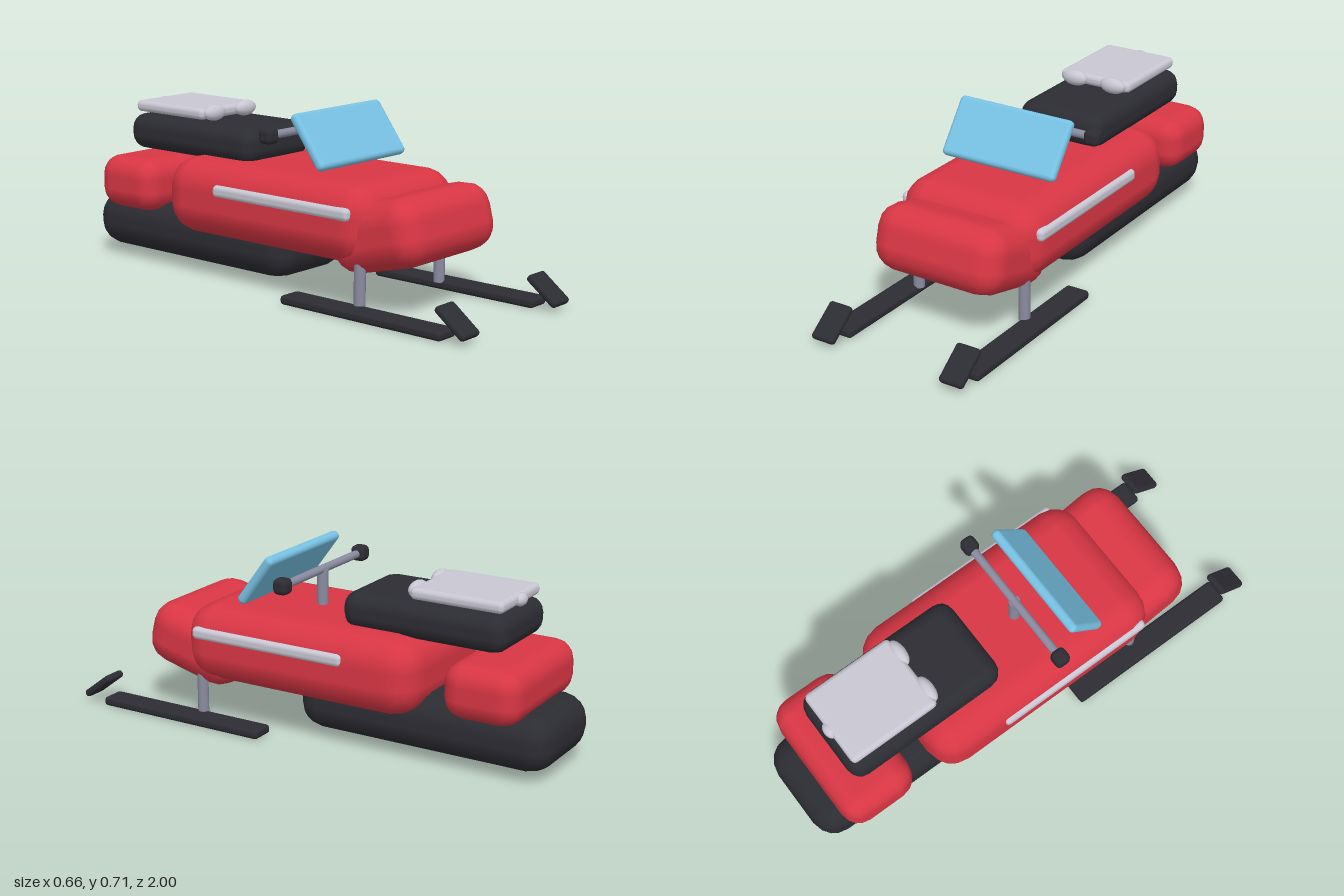
import * as THREE from 'three';
import { RoundedBoxGeometry } from 'three/addons/geometries/RoundedBoxGeometry.js';

const mat = (name, color) => {
  const m = new THREE.MeshStandardMaterial({ color });
  m.name = name;
  return m;
};

export function createModel() {
  const red = mat('red paint', 0xd93644);
  const black = mat('black rubber', 0x2c2c33);
  const silver = mat('silver trim', 0xc8c7d3);
  const steel = mat('steel', 0x8a8ba0);
  const blue = mat('blue windshield', 0x78c2e4);

  const model = new THREE.Group();
  model.name = 'snowmobile';

  const add = (name, geometry, material, pos, tilt = 0) => {
    const mesh = new THREE.Mesh(geometry, material);
    mesh.name = name;
    mesh.position.set(...pos);
    mesh.rotation.x = tilt;
    model.add(mesh);
    return mesh;
  };
  // Softly bevelled block
  const block = (name, material, [w, h, d], r, pos, tilt) =>
    add(name, new RoundedBoxGeometry(w, h, d, 2, r), material, pos, tilt);
  const ball = (name, [rx, ry, rz], pos) =>
    add(name, new THREE.SphereGeometry(1, 16, 10).scale(rx, ry, rz), silver, pos);

  // Hull, nose, rear fender, track and seat
  block('body', red, [0.62, 0.305, 1.03], 0.12, [0, 0.328, 0.015]);
  block('nose', red, [0.56, 0.26, 0.42], 0.1, [0, 0.295, 0.522], -0.25);
  block('rearFender', red, [0.56, 0.215, 0.31], 0.08, [0, 0.326, -0.75]);
  block('track', black, [0.436, 0.224, 1.06], 0.1, [0, 0.146, -0.47]);
  block('seat', black, [0.38, 0.145, 0.68], 0.06, [0, 0.532, -0.468]);

  // Luggage plate with rounded knobs
  block('rackPlate', silver, [0.32, 0.046, 0.38], 0.02, [0, 0.633, -0.598]);
  for (const s of [-1, 1]) ball('rackKnob', [0.057, 0.032, 0.028], [s * 0.088, 0.635, -0.408]);
  ball('rearKnob', [0.036, 0.025, 0.024], [0, 0.63, -0.782]);

  // Windshield leaning back
  block('windshield', blue, [0.5, 0.24, 0.04], 0.018, [0, 0.606, 0.213], -0.64);

  // Steering post and bar
  add('steeringPost', new THREE.CylinderGeometry(0.022, 0.022, 0.18, 16), steel, [0, 0.53, 0.06]);
  add('handlebar', new THREE.CylinderGeometry(0.016, 0.016, 0.52, 16).rotateZ(Math.PI / 2), steel, [0, 0.62, 0.06]);

  // Mirrored parts
  for (const s of [-1, 1]) {
    block('grip', black, [0.062, 0.062, 0.062], 0.02, [s * 0.281, 0.62, 0.06]);
    block('sideStripe', silver, [0.04, 0.05, 0.675], 0.019, [s * 0.297, 0.378, 0.128]);
    add('skiStrut', new THREE.CylinderGeometry(0.022, 0.022, 0.22, 16), steel, [s * 0.24, 0.14, 0.468]);
    block('ski', black, [0.1, 0.036, 0.745], 0.014, [s * 0.282, 0.018, 0.528]);
    block('skiTip', black, [0.1, 0.03, 0.155], 0.013, [s * 0.282, 0.073, 0.936], 0.65);
  }
  return model;
}
